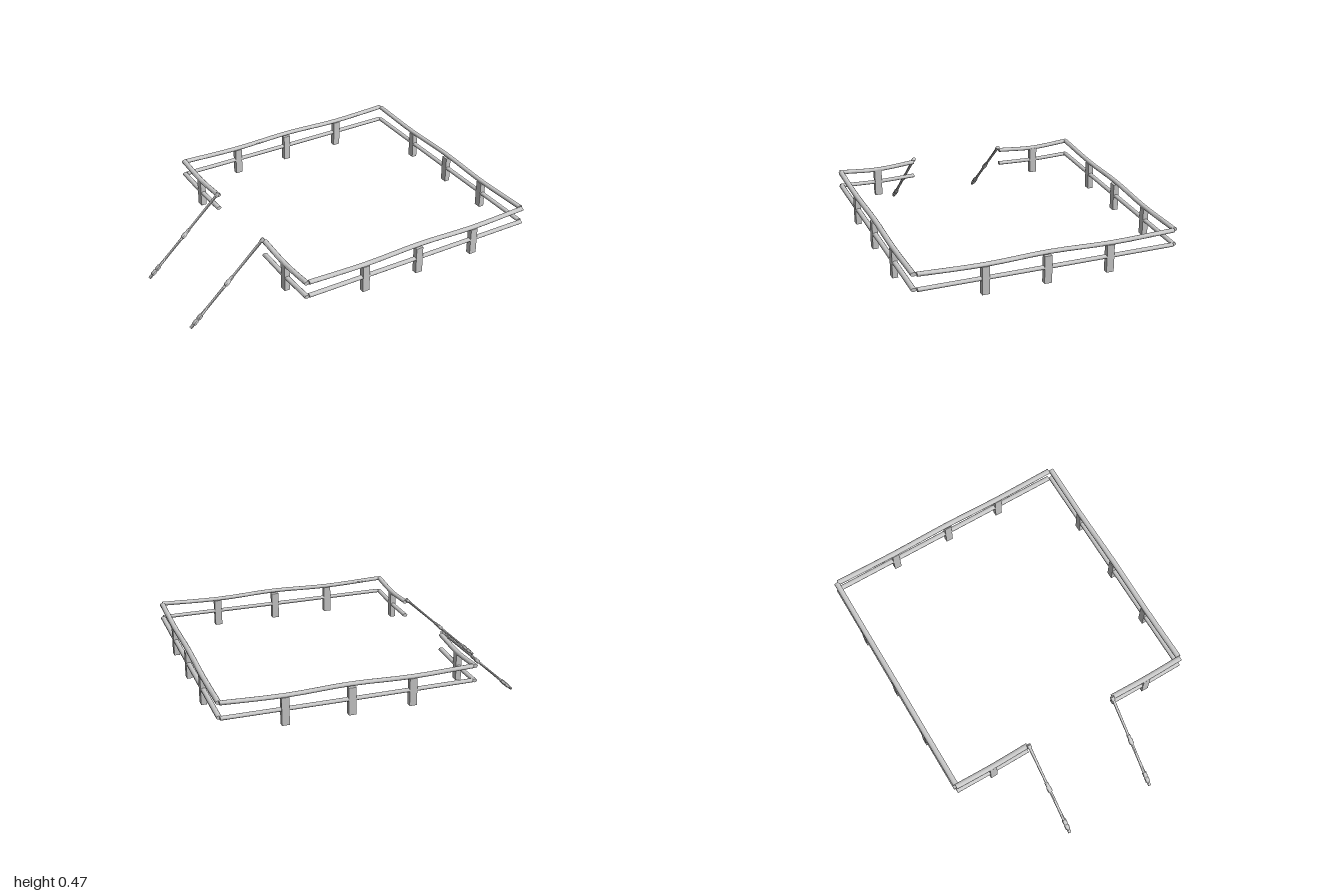
import * as THREE from 'three';
import { toCreasedNormals } from 'three/addons/utils/BufferGeometryUtils.js';

const material = new THREE.MeshStandardMaterial({ color: 0xcccccc });

function addMesh(parent, geometry, name) {
  const mesh = new THREE.Mesh(geometry, material);
  mesh.name = name;
  parent.add(mesh);
  return mesh;
}

// Horizontal log between two [x, z] points; heights are spaced evenly along it
function railGeometry([x0, z0], [x1, z1], heights, halfWidth, halfHeight) {
  const length = Math.hypot(x1 - x0, z1 - z0);
  const dx = (x1 - x0) / length, dz = (z1 - z0) / length;
  const curve = new THREE.CatmullRomCurve3(
    heights.map((h, i) => new THREE.Vector3(i / (heights.length - 1), h, 0)));
  const geometry = new THREE.CylinderGeometry(1, 1, 1, 10, 16);
  const p = geometry.attributes.position;
  for (let i = 0; i < p.count; i++) {
    const t = p.getY(i) + 0.5;
    const side = p.getX(i) * halfWidth, up = p.getZ(i) * halfHeight;
    p.setXYZ(i,
      x0 + dx * length * t - dz * side,
      curve.getPoint(t).y + up,
      z0 + dz * length * t + dx * side);
  }
  return toCreasedNormals(geometry, 0.9);
}

// One straight run of fence: sagging top rail, lower rail and posts
function addFence(parent, name, from, to, topHeights, lowHeights, posts) {
  const fence = new THREE.Group();
  fence.name = name;
  parent.add(fence);
  addMesh(fence, railGeometry(from, to, topHeights, 0.017, 0.012), 'topRail');
  addMesh(fence, railGeometry(from, to, lowHeights, 0.016, 0.011), 'lowerRail');
  const alongX = from[1] === to[1];
  for (const s of posts) {
    const size = alongX ? [0.044, 0.166, 0.033] : [0.033, 0.166, 0.044];
    const post = addMesh(fence, new THREE.BoxGeometry(...size), 'post');
    post.position.set(alongX ? s : from[0], 0.342, alongX ? from[1] : s);
  }
}

// Thin sloping handrail with thicker sleeves
function addHandrail(parent, z, name) {
  const start = new THREE.Vector3(-0.994, 0.008, z);
  const end = new THREE.Vector3(-0.506, 0.46, z);
  const length = start.distanceTo(end);
  const profile = [
    [0, 0], [0.0085, 0], [0.0085, 0.04], [0.0122, 0.045], [0.0122, 0.085],
    [0.0095, 0.09], [0.0095, 0.1], [0.0122, 0.105], [0.0122, 0.145], [0.008, 0.15],
    [0.007, 0.3], [0.0075, 0.475], [0.0122, 0.48], [0.0122, 0.525],
    [0.0095, 0.53], [0.0095, 0.575], [0.0065, 0.58], [0.007, 0.75],
    [0.008, 0.96], [0.011, 0.965], [0.011, 1], [0, 1],
  ].map(([r, t]) => new THREE.Vector2(r, t * length));
  const rail = addMesh(parent, toCreasedNormals(new THREE.LatheGeometry(profile, 10), 0.9), name);
  rail.scale.z = 1.2;
  rail.position.copy(start);
  rail.rotation.z = -Math.atan2(end.x - start.x, end.y - start.y);
}

export function createModel() {
  const model = new THREE.Group();
  model.name = 'fencedEnclosure';
  const wave = [0.442, 0.432, 0.443, 0.432, 0.444];
  const flat = [0.353, 0.352, 0.353];

  // Long run opposite the gate
  addFence(model, 'leftFence', [0.982, -0.758], [0.982, 0.75], wave, flat, [-0.365, 0.008, 0.37]);

  // Front and back halves mirror each other
  for (const [side, s] of [['front', 1], ['back', -1]]) {
    const z = s * 0.767;
    addFence(model, side + 'Fence', [-0.49, z], [0.98, z], wave, flat, [-0.125, 0.235, 0.62]);
    addFence(model, side + 'GateFence', [-0.503, s * 0.772], [-0.503, s * 0.292],
      [0.442, 0.426, 0.442], [0.351, 0.344, 0.35], [s * 0.53]);
    addHandrail(model, s * 0.287, side + 'Handrail');
  }
  return model;
}
